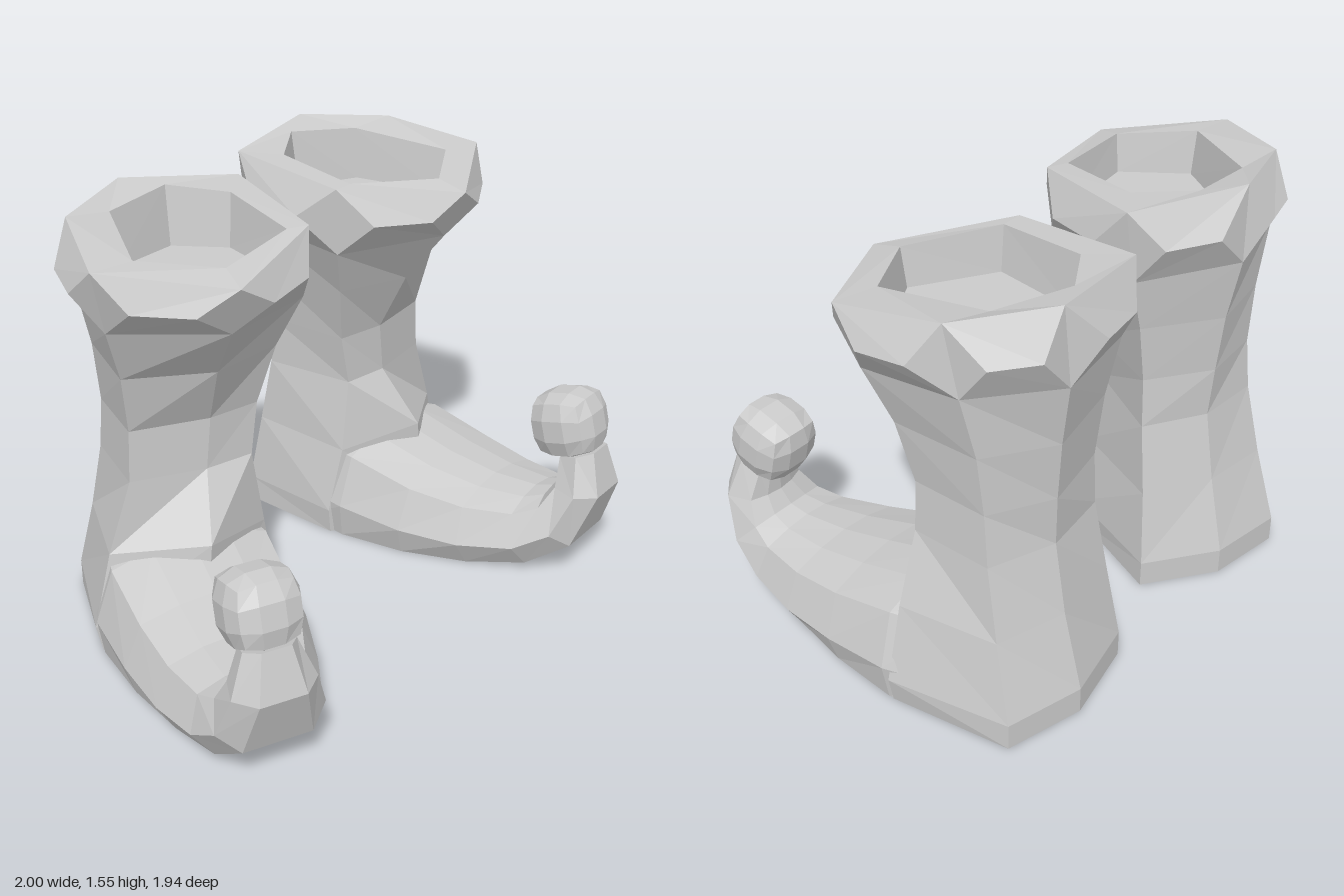
import * as THREE from 'three';

const material = new THREE.MeshStandardMaterial({ color: 0xcccccc, flatShading: true });
const v = (x, y, z) => new THREE.Vector3(x, y, z);

// Collects faces; side = -1 mirrors across x and keeps faces outward
function faceBuilder(side) {
  const pos = [];
  const tri = (a, b, c) => {
    for (const p of side > 0 ? [a, b, c] : [a, c, b]) pos.push(p.x * side, p.y, p.z);
  };
  const quad = (a, b, c, d) => { tri(a, b, c); tri(a, c, d); };
  const centre = (r) => r.reduce((s, p) => s.add(p), v(0, 0, 0)).divideScalar(r.length);
  return {
    quad,
    loft(rings) {
      for (let k = 0; k < rings.length - 1; k++) {
        const a = rings[k], b = rings[k + 1], n = a.length;
        for (let i = 0; i < n; i++) quad(a[i], a[(i + 1) % n], b[(i + 1) % n], b[i]);
      }
    },
    startCap(r) { const c = centre(r); r.forEach((p, i) => tri(c, r[(i + 1) % r.length], p)); },
    endCap(r) { const c = centre(r); r.forEach((p, i) => tri(c, p, r[(i + 1) % r.length])); },
    mesh(name) {
      const g = new THREE.BufferGeometry();
      g.setAttribute('position', new THREE.Float32BufferAttribute(pos, 3));
      g.computeVertexNormals();
      const m = new THREE.Mesh(g, material);
      m.name = name;
      return m;
    },
  };
}

// Six corners [x, z]: back, inner back, inner front, front, outer front, outer back
const hexRing = (y, pts) => pts.map(([x, z], i) => v(x, Array.isArray(y) ? y[i] : y, z));

const openingXZ = [[0.03, -0.37], [0.22, -0.25], [0.27, 0.09], [-0.02, 0.27], [-0.27, 0.13], [-0.21, -0.25]];
const opening = hexRing([1.53, 1.51, 1.48, 1.46, 1.48, 1.51], openingXZ);
const floor = hexRing(1.32, openingXZ.map(([x, z]) => [x * 0.92, z * 0.92]));
const rimTop = hexRing([1.555, 1.52, 1.48, 1.43, 1.48, 1.53],
  [[-0.11, -0.44], [0.31, -0.39], [0.35, 0.09], [-0.02, 0.385], [-0.42, 0.17], [-0.37, -0.21]]);
const shaftRings = [
  hexRing([1.28, 1.25, 1.23, 1.25, 1.25, 1.28],
    [[-0.1, -0.46], [0.27, -0.38], [0.33, 0.08], [-0.02, 0.3], [-0.37, 0.12], [-0.35, -0.25]]),
  hexRing(1.05, [[-0.08, -0.42], [0.22, -0.36], [0.25, 0.03], [-0.01, 0.14], [-0.31, 0.05], [-0.3, -0.27]]),
  hexRing(0.83, [[-0.07, -0.4], [0.19, -0.35], [0.19, -0.01], [0, 0.03], [-0.28, 0], [-0.28, -0.28]]),
  hexRing(0.64, [[-0.06, -0.39], [0.19, -0.36], [0.16, 0], [-0.02, 0.03], [-0.29, 0], [-0.29, -0.3]]),
  hexRing([0.38, 0.38, 0.36, 0.42, 0.38, 0.38],
    [[-0.07, -0.44], [0.2, -0.41], [0.2, 0], [-0.07, 0.17], [-0.38, 0], [-0.32, -0.36]]),
  hexRing(0.1, [[-0.08, -0.52], [0.22, -0.46], [0.25, -0.03], [-0.1, 0.17], [-0.45, 0], [-0.36, -0.44]]),
  hexRing(0, [[-0.08, -0.52], [0.22, -0.46], [0.24, -0.03], [-0.1, 0.17], [-0.43, 0], [-0.36, -0.44]]),
];

// Shaft with a faceted rim and a shallow hollow
function makeShaft(side) {
  const f = faceBuilder(side);
  f.startCap(floor);
  f.loft([floor, opening, rimTop]);
  const low = shaftRings[0];
  const bulge = (i, t) => {
    const j = (i + 1) % 6;
    const p = rimTop[i].clone().lerp(rimTop[j], t).lerp(low[i].clone().lerp(low[j], t), 0.5);
    const out = v(p.x + 0.02, 0, p.z + 0.06).setLength(0.075);
    return p.add(out);
  };
  for (let i = 0; i < 6; i++) {
    const j = (i + 1) % 6;
    const before = bulge((i + 5) % 6, 0.7), after = bulge(i, 0.3), next = bulge(i, 0.7);
    f.quad(rimTop[i], after, low[i], before);
    f.quad(rimTop[i], rimTop[j], next, after);
    f.quad(after, next, low[j], low[i]);
  }
  f.loft(shaftRings);
  f.endCap(shaftRings[shaftRings.length - 1]);
  return f.mesh('shaft');
}

// Foot stations: bottom z, bottom y, top z, top y, centre x, bottom half width, widest half width
const footStations = [
  [-0.2, 0, -0.16, 0.4, -0.085, 0.29, 0.3],
  [0.02, 0, 0.04, 0.4, -0.1, 0.33, 0.352],
  [0.28, 0, 0.3, 0.325, -0.11, 0.3, 0.335],
  [0.52, 0, 0.5, 0.285, -0.13, 0.23, 0.29],
  [0.73, 0.03, 0.67, 0.28, -0.15, 0.16, 0.23],
  [0.89, 0.14, 0.74, 0.3, -0.16, 0.12, 0.19],
  [0.965, 0.35, 0.775, 0.36, -0.17, 0.08, 0.145],
  [0.92, 0.51, 0.77, 0.46, -0.17, 0.05, 0.09],
];

// Foot that tapers and curls upward at the toe
function makeFoot(side) {
  const f = faceBuilder(side);
  const rings = footStations.map(([zb, yb, zt, yt, cx, wb, wm]) => {
    const half = [[wb, 0], [wm, 0.35], [wm * 0.82, 0.84], [wm * 0.4, 0.96]];
    const outline = [...half, [0, 1], ...half.map(([w, t]) => [-w, t]).reverse()];
    return outline.map(([w, t]) => v(cx + w, yb + (yt - yb) * t, zb + (zt - zb) * t));
  });
  f.loft(rings);
  f.endCap(rings[rings.length - 1]);
  return f.mesh('foot');
}

// Bobble: a box pushed part of the way to a sphere
function makeBobble(side) {
  const g = new THREE.BoxGeometry(1, 1, 1, 3, 3, 3);
  const p = g.attributes.position, q = v(0, 0, 0);
  for (let i = 0; i < p.count; i++) {
    q.fromBufferAttribute(p, i);
    q.lerp(q.clone().setLength(0.6), 0.75).multiplyScalar(0.235);
    p.setXYZ(i, q.x, q.y, q.z);
  }
  g.computeVertexNormals();
  const m = new THREE.Mesh(g, material);
  m.name = 'toeBobble';
  m.position.set(-0.17 * side, 0.585, 0.785);
  m.rotation.x = -0.25;
  return m;
}

function makeBoot(name, side) {
  const boot = new THREE.Group();
  boot.name = name;
  boot.add(makeShaft(side), makeFoot(side), makeBobble(side));
  return boot;
}

export function createModel() {
  const model = new THREE.Group();
  model.name = 'curledToeBoots';
  const right = makeBoot('rightBoot', 1);
  right.position.set(-0.53, 0, 0);
  const left = makeBoot('leftBoot', -1);
  left.position.set(0.335, 0, -0.42);
  left.rotation.y = THREE.MathUtils.degToRad(25.5);
  model.add(right, left);
  return model;
}
